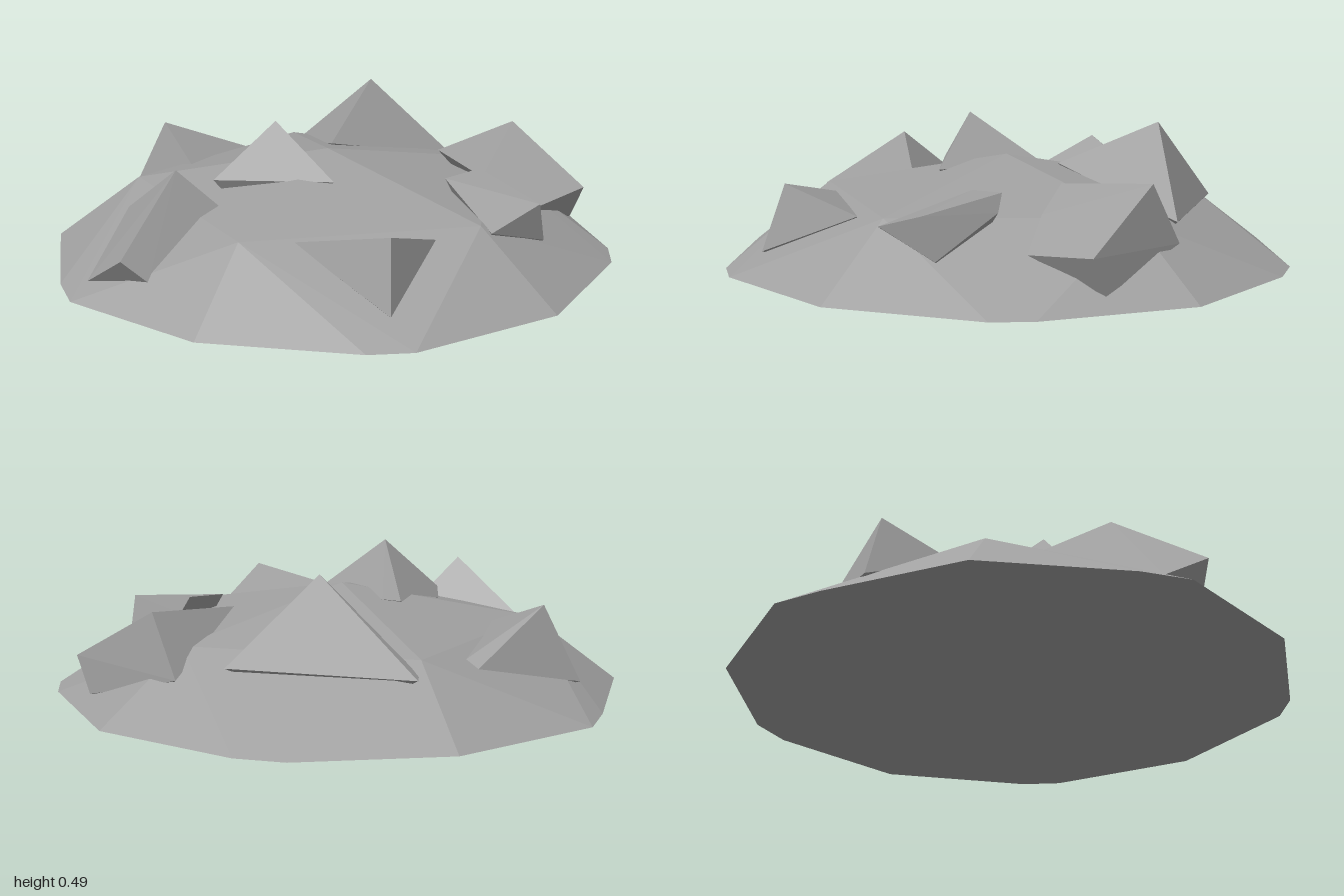
import * as THREE from 'three';
import { ConvexGeometry } from 'three/addons/geometries/ConvexGeometry.js';

const stone = new THREE.MeshStandardMaterial({ color: 0xa0a0a0 });
stone.name = 'grey stone';

// Faceted convex solid from corner points [x, y, z]
function solid(name, corners) {
  const mesh = new THREE.Mesh(
    new ConvexGeometry(corners.map((c) => new THREE.Vector3(...c))), stone);
  mesh.name = name;
  return mesh;
}

// Low dome: apex, five-sided shoulder, irregular flat base
function mound() {
  const corners = [[0, 0.36, 0]];
  for (let i = 0; i < 5; i++) {
    const a = (i * Math.PI * 2) / 5;
    corners.push([0.68 * Math.cos(a), 0.23, 0.68 * Math.sin(a)]);
  }
  const base = [
    [1, 0], [0.85, 0.52], [0.77, 0.64], [0.31, 0.94], [-0.24, 0.97],
    [-0.38, 0.91], [-0.79, 0.57], [-1, 0.07], [-0.97, -0.1], [-0.79, -0.58],
    [-0.39, -0.88], [-0.24, -0.97], [0.31, -0.93], [0.75, -0.65], [0.85, -0.51],
  ];
  for (const [x, z] of base) corners.push([x, 0, z]);
  return solid('mound', corners);
}

// Rock: exposed corners plus one root point buried inside the mound
function rock(name, corners) {
  const n = corners.length;
  const root = [0, 2].map((k) => corners.reduce((s, c) => s + c[k], 0) / n);
  return solid(name, [...corners, [root[0] * 0.95, 0.02, root[1] * 0.95]]);
}

const rocks = {
  backLeftRock: [
    [-0.33, 0.34, -0.66], [-0.42, 0.08, -0.75], [-0.34, 0.24, -0.4],
    [0.01, 0.17, -0.69], [0.01, 0.2, -0.64],
  ],
  backRightRock: [
    [0.39, 0.485, -0.36], [0.1, 0.325, -0.15], [0.66, 0.19, -0.21],
    [0.28, 0.185, -0.71], [0.24, 0.19, -0.67],
  ],
  centreRock: [
    [-0.21, 0.49, 0.01], [-0.43, 0.3, -0.03], [-0.39, 0.27, -0.08],
    [-0.1, 0.31, 0.22], [-0.1, 0.31, -0.2], [-0.04, 0.32, -0.17],
  ],
  leftRock: [
    [-0.6, 0.38, 0.04], [-0.88, 0.165, 0.22], [-0.92, 0.04, 0.02],
    [-0.66, 0.15, -0.29], [-0.47, 0.25, 0.09], [-0.8, 0.09, 0.25],
  ],
  frontLeftRock: [
    [-0.21, 0.3, 0.77], [-0.39, 0.22, 0.46],
    [0.04, 0.21, 0.64], [-0.25, 0.07, 0.84],
  ],
  frontRightRock: [
    [0.44, 0.27, 0.655], [0.42, 0.31, 0.33], [0.48, 0.13, 0.63],
    [0.23, 0.21, 0.68], [0.27, 0.3, 0.34], [0.44, 0.25, 0.36],
  ],
  rightRock: [
    [0.785, 0.355, 0.01], [0.88, 0.17, 0.33], [0.87, 0.045, 0.27],
    [0.78, 0.15, -0.11], [0.41, 0.315, 0.08], [0.62, 0.145, 0.38],
    [0.5, 0.24, 0.23],
  ],
};

export function createModel() {
  const group = new THREE.Group();
  group.name = 'rockyMound';
  group.add(mound());
  for (const [name, corners] of Object.entries(rocks)) group.add(rock(name, corners));
  return group;
}
